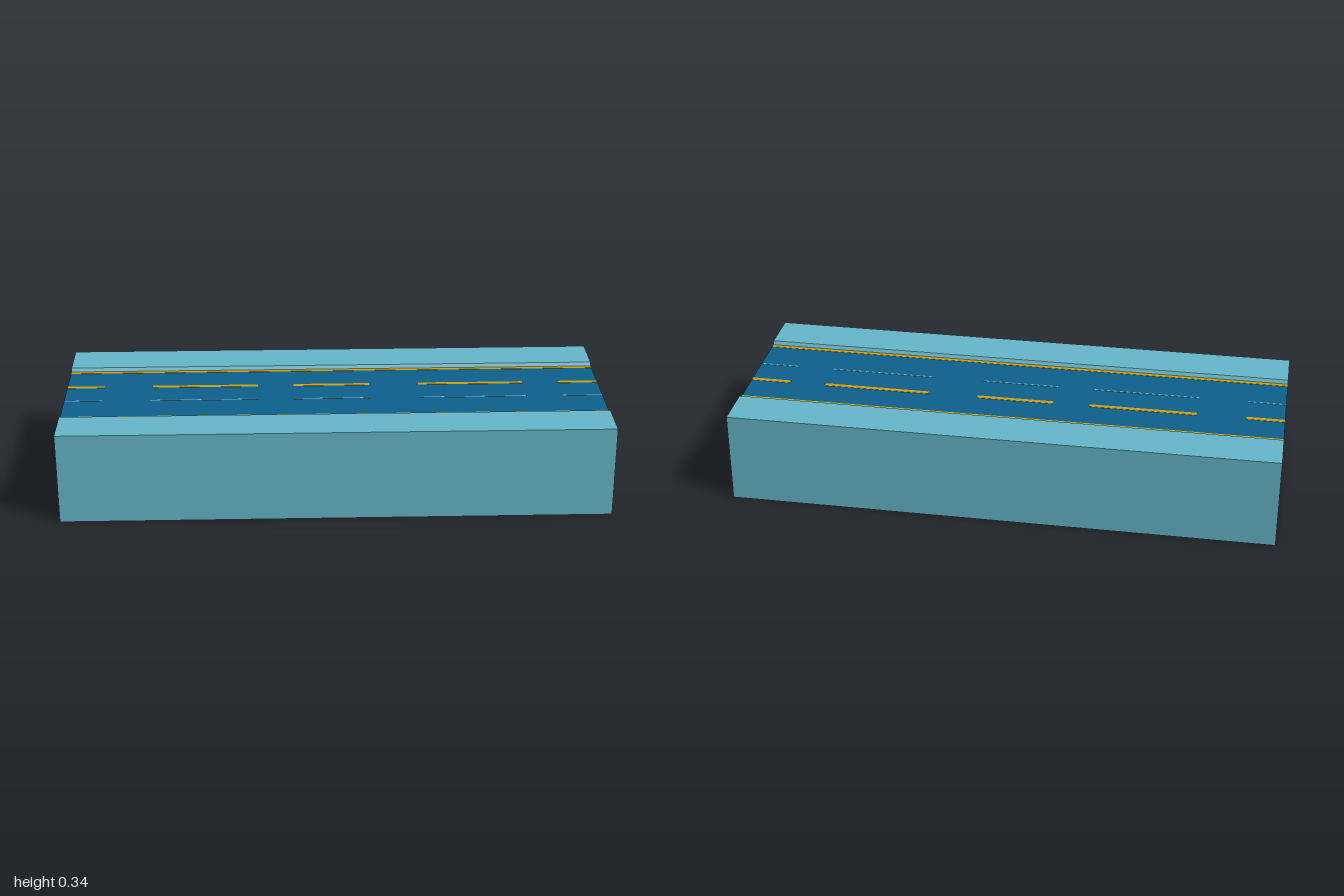
import * as THREE from 'three';

const material = (name, color) => {
  const m = new THREE.MeshStandardMaterial({ color });
  m.name = name;
  return m;
};

export function createModel() {
  const paving = material('pale blue paving', 0x66b5c9);
  const asphalt = material('deep blue asphalt', 0x0d5f8d);
  const yellow = material('yellow paint', 0xc9a011);

  const length = 2, halfDepth = 0.39, roadHalf = 0.219;
  const kerbTop = 0.341, roadTop = 0.328;

  const group = new THREE.Group();
  group.name = 'roadSection';
  const add = (name, geometry, mat) => {
    const mesh = new THREE.Mesh(geometry, mat);
    mesh.name = name;
    group.add(mesh);
    return mesh;
  };

  // Road block, with a paving-coloured underside
  add('road', new THREE.BoxGeometry(length, roadTop, roadHalf * 2),
    [asphalt, asphalt, asphalt, paving, asphalt, asphalt]).position.y = roadTop / 2;

  // Flat painted line on the road surface
  const paint = (name, x0, x1, z, width, mat) => {
    const plate = new THREE.BoxGeometry(x1 - x0, 0.001, width);
    add(name, plate, mat).position.set((x0 + x1) / 2, roadTop + 0.0005, z);
  };

  for (const [side, label] of [[1, 'front'], [-1, 'back']]) {
    // Pavement with a chamfered kerb, extruded along the road
    const profile = [
      [halfDepth, 0], [halfDepth, kerbTop], [0.227, kerbTop],
      [roadHalf, roadTop], [roadHalf, 0],
    ].map(([z, y]) => new THREE.Vector2(-side * z, y));
    const pavement = new THREE.ExtrudeGeometry(new THREE.Shape(profile),
      { depth: length, bevelEnabled: false });
    pavement.rotateY(Math.PI / 2).translate(-length / 2, 0, 0);
    add(label + 'Pavement', pavement, paving);

    // Continuous edge line
    paint(label + 'EdgeLine', -1, 1, side * 0.208, 0.018, yellow);
  }

  // Broken lane lines
  const dashes = [[-1, -0.86], [-0.68, -0.285], [-0.15, 0.135], [0.32, 0.715], [0.85, 1]];
  for (const [x0, x1] of dashes) {
    paint('backLaneDash', x0, x1, -0.067, 0.018, yellow);
    paint('frontLaneDash', x0, x1, 0.058, 0.005, paving);
  }
  return group;
}
